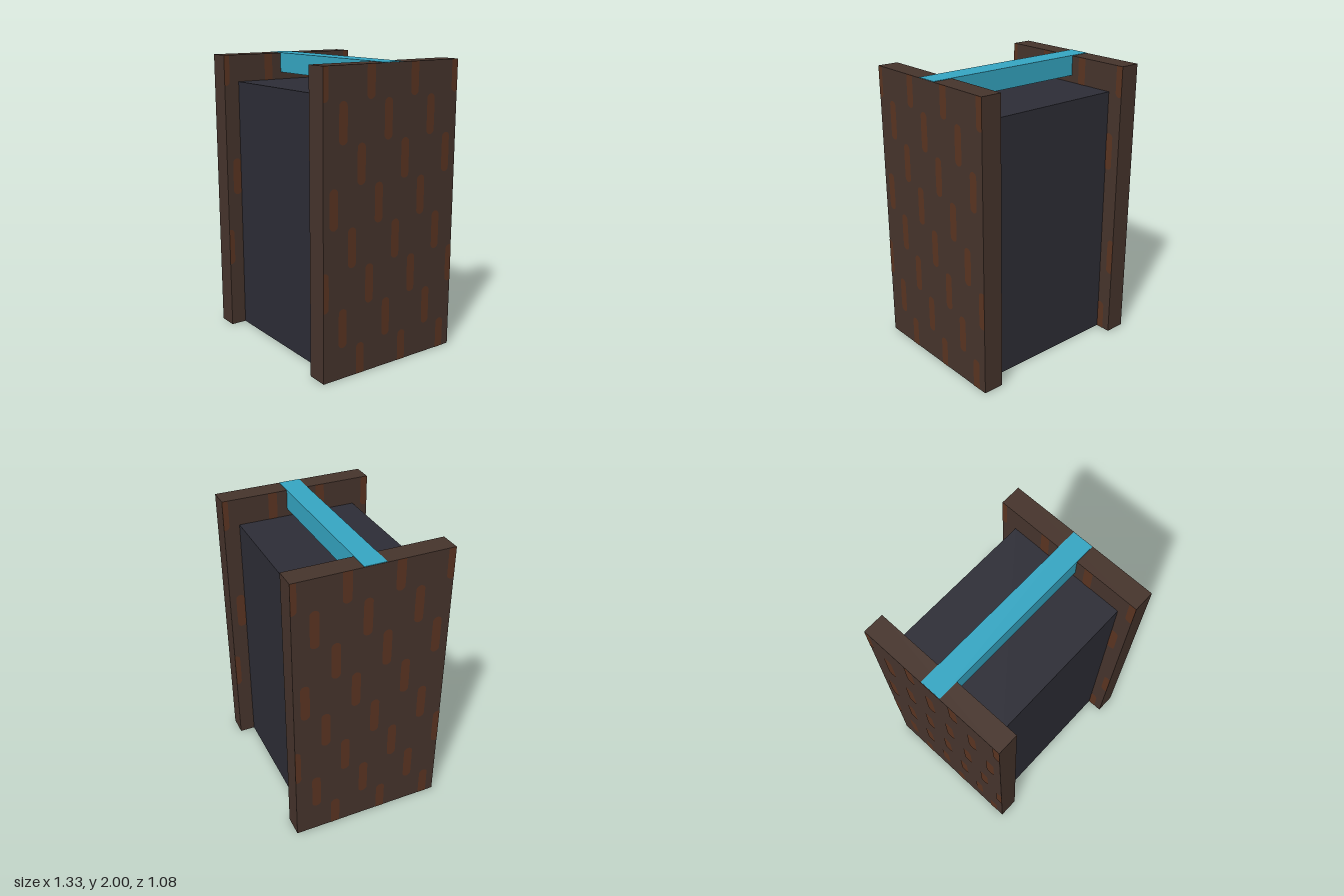
import * as THREE from 'three';
import { mergeGeometries } from 'three/addons/utils/BufferGeometryUtils.js';

const PANEL = { inner: 0.52, outer: 0.664, height: 1.997, halfDepth: 0.538 };

// One upright rounded grain mark facing +z, trimmed to the panel's edges
function grainMark(u, y) {
  const radius = 0.032, stretch = 0.1;
  const mark = new THREE.CircleGeometry(radius, 24);
  const p = mark.attributes.position;
  for (let i = 0; i < p.count; i++) {
    const px = p.getX(i), py = p.getY(i);
    const shift = Math.abs(py) < 1e-6 ? 0 : Math.sign(py) * stretch;
    p.setXY(i,
      THREE.MathUtils.clamp(u + px, -PANEL.halfDepth, PANEL.halfDepth),
      THREE.MathUtils.clamp(y + py + shift, 0, PANEL.height));
  }
  return mark;
}

// Staggered rows of marks covering one panel face
function grainFace() {
  const marks = [], pitch = 0.35;
  for (let row = 0; row < 8; row++) {
    const y = 1.917 - row * 0.262;
    const start = -0.18 + row * 0.14;
    for (let k = -6; k <= 4; k++) {
      const u = start + k * pitch;
      if (Math.abs(u) < PANEL.halfDepth) marks.push(grainMark(u, y));
    }
  }
  return mergeGeometries(marks);
}

export function createModel() {
  const model = new THREE.Group();
  const material = (name, color) => {
    const m = new THREE.MeshStandardMaterial({ color });
    m.name = name;
    return m;
  };
  const wood = material('dark wood', 0x46342c);
  const grain = material('rust grain', 0x5a3421);
  const slate = material('slate', 0x2d2d36);
  const cyan = material('cyan', 0x35a6c3);

  const add = (name, geometry, mat, x = 0, y = 0, z = 0) => {
    const mesh = new THREE.Mesh(geometry, mat);
    mesh.name = name;
    mesh.position.set(x, y, z);
    model.add(mesh);
    return mesh;
  };

  // Body block and the grip bar across the top
  add('body', new THREE.BoxGeometry(1.04, 1.81, 0.854), slate, 0, 0.905, 0);
  add('gripBar', new THREE.BoxGeometry(1.322, 0.14, 0.15), cyan, 0, 1.93, 0);

  // Side panels with grain marks on both broad faces
  const width = PANEL.outer - PANEL.inner;
  const panelShape = new THREE.BoxGeometry(width, PANEL.height, PANEL.halfDepth * 2);
  const marks = grainFace();
  for (const [side, sign] of [['left', 1], ['right', -1]]) {
    const x = sign * (PANEL.inner + PANEL.outer) / 2;
    add(side + 'Panel', panelShape, wood, x, PANEL.height / 2, 0);
    for (const facing of [1, -1]) {
      const where = facing === sign ? 'Outer' : 'Inner';
      const face = add(side + where + 'Grain', marks, grain, x + facing * (width / 2 + 0.0015), 0, 0);
      face.rotation.y = facing * Math.PI / 2;
    }
  }
  return model;
}
